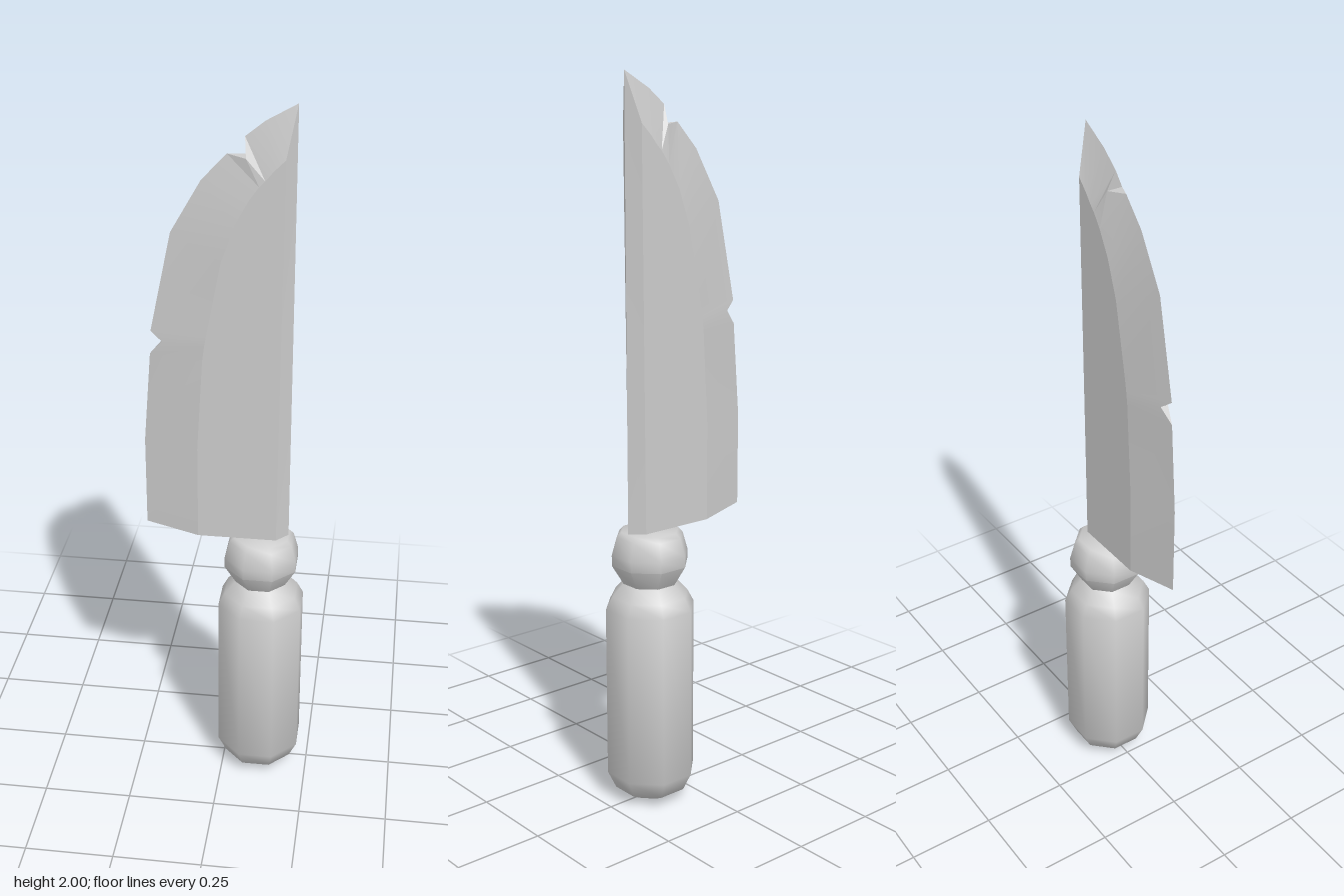
import * as THREE from 'three';
import { toCreasedNormals } from 'three/addons/utils/BufferGeometryUtils.js';

const material = new THREE.MeshStandardMaterial({ color: 0xcccccc });
const HALF = 0.038; // half thickness of the blade

// Blade sections from heel to tip: cutting edge x, y, half width, then bevel line x, y.
// The two rows with a half width are the bottoms of the nicks.
const sections = [
  [-0.22, 0.8, 0, -0.07, 0.787],
  [-0.22, 1.06, 0, -0.07, 1.06],
  [-0.2, 1.32, 0, -0.055, 1.32],
  [-0.165, 1.36, 0.011, -0.05, 1.36],
  [-0.197, 1.385, 0, -0.045, 1.39],
  [-0.14, 1.66, 0, -0.005, 1.6],
  [-0.06, 1.8, 0, 0.03, 1.7],
  [0.005, 1.87, 0, 0.065, 1.765],
  [0.055, 1.865, 0.022, 0.09, 1.8],
  [0.05, 1.915, 0, 0.105, 1.815],
  [0.1, 1.955, 0, 0.125, 1.84],
  [0.18, 2, 0, 0.155, 1.87],
];

function createBlade() {
  const positions = [];
  const indices = [];
  const heel = sections[0][4];
  const top = sections[sections.length - 1][4];
  for (const [ex, ey, ez, bx, by] of sections) {
    const t = (by - heel) / (top - heel);
    const shoulderX = THREE.MathUtils.lerp(0.148, 0.155, t);
    const spineY = THREE.MathUtils.lerp(0.785, 2, t);
    positions.push(
      ex, ey, ez,
      bx, by, HALF,
      shoulderX, by, HALF,
      0.18, spineY, 0,
      shoulderX, by, -HALF,
      bx, by, -HALF,
      ex, ey, -ez,
    );
  }
  const n = 7;
  for (let i = 0; i < sections.length - 1; i++) {
    for (let j = 0; j < n; j++) {
      const a = i * n + j;
      const b = i * n + ((j + 1) % n);
      indices.push(a, b, b + n, a, b + n, a + n);
    }
  }
  // heel cap
  for (let j = 1; j < n - 2; j++) indices.push(0, j + 1, j);

  const geometry = new THREE.BufferGeometry();
  geometry.setAttribute('position', new THREE.Float32BufferAttribute(positions, 3));
  geometry.setIndex(indices);
  const blade = new THREE.Mesh(toCreasedNormals(geometry, 0.2), material);
  blade.name = 'blade';
  return blade;
}

// Turned eight-sided grip with a waist and collar
function createHandle() {
  const toCorner = 1 / Math.cos(Math.PI / 8); // flat radius to corner radius
  const profile = [
    [0, 0], [0.05, 0.003], [0.095, 0.03], [0.117, 0.08], [0.117, 0.565],
    [0.1, 0.6], [0.07, 0.635], [0.1, 0.69], [0.1, 0.72], [0.087, 0.77],
    [0.075, 0.783], [0, 0.783],
  ].map(([r, y]) => new THREE.Vector2(r * toCorner, y));
  const geometry = new THREE.LatheGeometry(profile, 8, Math.PI / 8);
  const handle = new THREE.Mesh(toCreasedNormals(geometry, 0.9), material);
  handle.name = 'handle';
  handle.position.x = 0.105;
  return handle;
}

export function createModel() {
  const knife = new THREE.Group();
  knife.name = 'knife';
  knife.add(createBlade(), createHandle());
  return knife;
}
